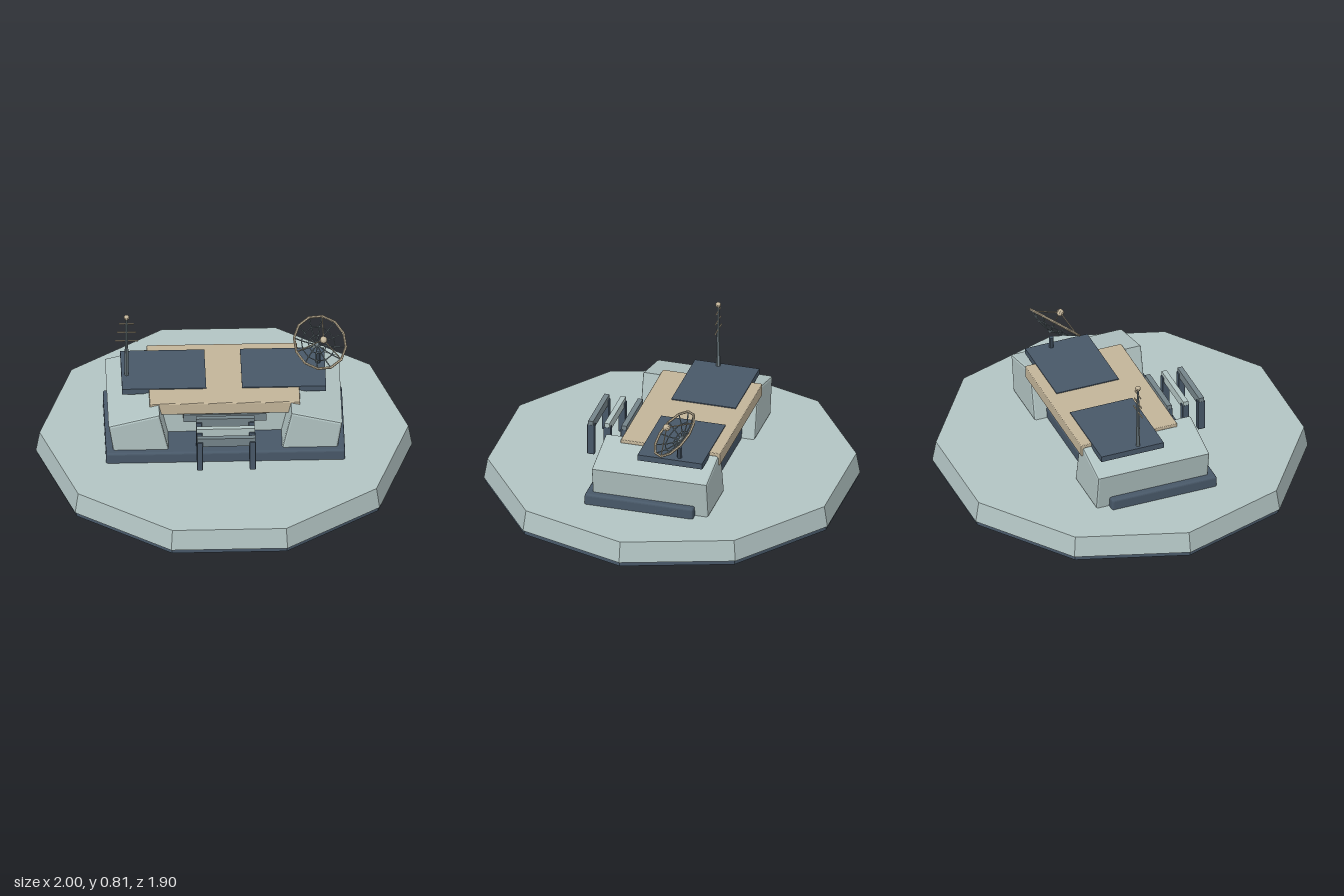
import * as THREE from 'three';
import { RoundedBoxGeometry } from 'three/addons/geometries/RoundedBoxGeometry.js';

export function createModel() {
  const model = new THREE.Group();
  model.name = 'outpost';
  const material = (name, color, flatShading = false) => {
    const m = new THREE.MeshStandardMaterial({ color, flatShading });
    m.name = name;
    return m;
  };
  const pale = material('paleConcrete', 0xb2c4c3, true);
  const dark = material('darkSlate', 0x485868, true);
  const tan = material('sandPanel', 0xc2b499, true);
  const grey = material('greyMetal', 0x75848a, true);

  const add = (name, geometry, mat, parent = model) => {
    const mesh = new THREE.Mesh(geometry, mat);
    mesh.name = name;
    parent.add(mesh);
    return mesh;
  };
  // Box given by its min and max on each axis, optionally with softened edges
  const box = (name, mat, [x0, x1], [y0, y1], [z0, z1], r = 0, parent = model) => {
    const s = [x1 - x0, y1 - y0, z1 - z0];
    const g = r ? new RoundedBoxGeometry(...s, 2, r) : new THREE.BoxGeometry(...s);
    const mesh = add(name, g, mat, parent);
    mesh.position.set((x0 + x1) / 2, (y0 + y1) / 2, (z0 + z1) / 2);
    return mesh;
  };
  // Thin rod between two points
  const rod = (name, mat, a, b, r, parent = model, sides = 6) => {
    const d = b.clone().sub(a);
    const mesh = add(name, new THREE.CylinderGeometry(r, r, d.length(), sides), mat, parent);
    mesh.position.copy(a).add(b).multiplyScalar(0.5);
    mesh.quaternion.setFromUnitVectors(new THREE.Vector3(0, 1, 0), d.normalize());
    return mesh;
  };
  const v = (x, y, z) => new THREE.Vector3(x, y, z);

  // Ten-sided platform
  const decagon = (name, mat, top, bottom, y0, y1) => {
    const mesh = add(name, new THREE.CylinderGeometry(top, bottom, y1 - y0, 10), mat);
    mesh.rotation.y = Math.PI / 10;
    mesh.position.y = (y0 + y1) / 2;
  };
  decagon('platformFoot', dark, 0.99, 0.99, 0, 0.03);
  decagon('platform', pale, 0.98, 1, 0.025, 0.14);

  // Plinth, core and doorway
  box('plinth', dark, [-0.635, 0.635], [0.12, 0.2], [-0.3, 0.3], 0.012);
  box('core', pale, [-0.36, 0.36], [0.14, 0.4], [-0.22, 0.1]);
  box('doorFrame', dark, [-0.07, 0.07], [0.2, 0.32], [0.09, 0.12]);
  box('door', dark, [-0.05, 0.05], [0.2, 0.31], [0.11, 0.128]);
  box('doorLintel', grey, [-0.22, 0.22], [0.295, 0.34], [0.09, 0.15]);

  // Sloped side wings
  const bevel = 0.012;
  for (const s of [1, -1]) {
    const points = [[0.302, 0.152], [0.578, 0.152], [0.608, 0.342], [0.36, 0.405]]
      .map(([x, y]) => new THREE.Vector2(s * x, y));
    const g = new THREE.ExtrudeGeometry(new THREE.Shape(points), {
      depth: 0.616, bevelSize: bevel, bevelThickness: bevel, bevelSegments: 2,
    });
    g.translate(0, 0, -0.363);
    add(s > 0 ? 'leftWing' : 'rightWing', g, pale);
  }

  // Roof with hanging lips and two dark panels
  box('roof', tan, [-0.4, 0.4], [0.405, 0.426], [-0.383, 0.168], 0.006);
  box('frontRoofLip', tan, [-0.4, 0.4], [0.355, 0.426], [0.145, 0.168], 0.006);
  box('backRoofLip', tan, [-0.4, 0.4], [0.355, 0.426], [-0.383, -0.36], 0.006);
  for (const s of [1, -1]) {
    const xs = s > 0 ? [0.095, 0.542] : [-0.542, -0.095];
    box('roofPanel', dark, xs, [0.398, 0.431], [-0.325, 0.032]);
  }

  // Row of entrance portals
  [[0.22, grey], [0.315, pale], [0.405, grey]].forEach(([z, mat]) => {
    const portal = new THREE.Group();
    portal.name = 'portal';
    model.add(portal);
    box('portalBeam', mat, [-0.155, 0.155], [0.32, 0.37], [z - 0.014, z + 0.014], 0, portal);
    for (const x of [-0.14, 0.14])
      box('portalPost', dark, [x - 0.016, x + 0.016], [0.17, 0.348], [z - 0.02, z + 0.02], 0.004, portal);
  });

  // Radio mast
  const mast = new THREE.Group();
  mast.name = 'mast';
  mast.position.set(-0.515, 0, -0.105);
  model.add(mast);
  add('mastPole', new THREE.CylinderGeometry(0.006, 0.012, 0.37, 8), grey, mast).position.y = 0.615;
  add('mastTip', new THREE.SphereGeometry(0.015, 10, 8), tan, mast).position.y = 0.8;
  [[0.76, 0.04], [0.705, 0.05], [0.65, 0.06]].forEach(([y, w]) =>
    rod('mastBar', tan, v(-w, y, 0), v(w, y, 0), 0.004, mast));

  // Skeleton dish, its bowl opening along the local y axis
  const post = add('dishPost', new THREE.CylinderGeometry(0.013, 0.013, 0.065, 8), dark);
  post.position.set(0.505, 0.46, -0.19);
  const dish = new THREE.Group();
  dish.name = 'dish';
  dish.position.set(0.515, 0.575, -0.165);
  dish.quaternion.setFromUnitVectors(v(0, 1, 0), v(0.3, 0.72, 0.63).normalize());
  model.add(dish);
  const R = 0.146, ribs = 12;
  const bowlY = (r) => -0.05 * (1 - (r / R) ** 2);
  const onBowl = (r, a) => v(r * Math.cos(a), bowlY(r), r * Math.sin(a));
  [[R, 0.007, tan], [0.095, 0.003, grey], [0.05, 0.003, grey]].forEach(([r, t, mat]) => {
    const ring = add(r === R ? 'dishRim' : 'dishRing', new THREE.TorusGeometry(r, t, 6, ribs), mat, dish);
    ring.rotation.x = Math.PI / 2;
    ring.position.y = bowlY(r);
  });
  for (let i = 0; i < ribs; i++) {
    const a = (i / ribs) * Math.PI * 2;
    const path = new THREE.CatmullRomCurve3([0.005, 0.05, 0.095, R].map((r) => onBowl(r, a)));
    add('dishRib', new THREE.TubeGeometry(path, 6, 0.0035, 5), grey, dish);
  }
  add('dishHub', new THREE.SphereGeometry(0.013, 8, 6), grey, dish).position.y = -0.05;
  // Feed held by three struts
  const feed = v(0, 0.06, 0);
  add('dishFeed', new THREE.SphereGeometry(0.02, 10, 8), tan, dish).position.copy(feed);
  for (let i = 0; i < 3; i++)
    rod('feedStrut', tan, onBowl(R, (i / 3) * Math.PI * 2 + 0.52), feed, 0.003, dish);

  return model;
}
